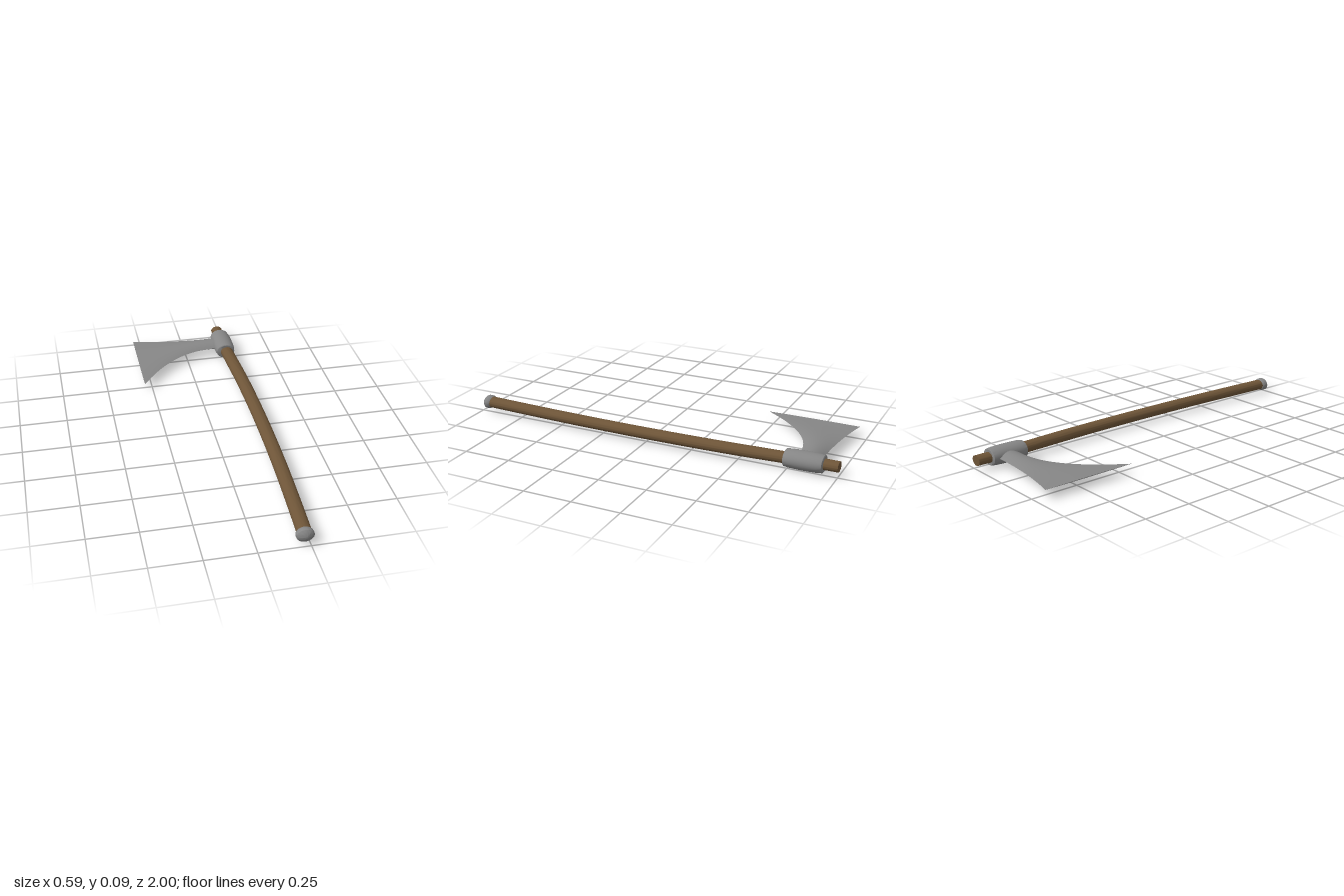
import * as THREE from 'three';
import { toCreasedNormals } from 'three/addons/utils/BufferGeometryUtils.js';

const CY = 0.047; // height of the axe's mid plane

// Skin a list of equal-length closed rings and close both ends with fans
function loft(rings) {
  const n = rings[0].length, pos = rings.flat(2), idx = [];
  for (let i = 0; i < rings.length - 1; i++) {
    for (let j = 0; j < n; j++) {
      const a = i * n + j, b = i * n + (j + 1) % n;
      idx.push(a, b, a + n, b, b + n, a + n);
    }
  }
  [0, rings.length - 1].forEach((r, end) => {
    const centre = [0, 1, 2].map(k => rings[r].reduce((s, p) => s + p[k], 0) / n);
    const c = pos.length / 3;
    pos.push(...centre);
    for (let j = 0; j < n; j++) {
      const a = r * n + j, b = r * n + (j + 1) % n;
      if (end) idx.push(c, a, b); else idx.push(c, b, a);
    }
  });
  const g = new THREE.BufferGeometry();
  g.setAttribute('position', new THREE.Float32BufferAttribute(pos, 3));
  g.setIndex(idx);
  return toCreasedNormals(g, 0.6);
}

const circle = (n, f) => Array.from({ length: n }, (_, j) => f(j / n * Math.PI * 2));

// Upright oval ring around the haft axis
const oval = (x, z, rx, ry) =>
  circle(32, a => [x + rx * Math.cos(a), CY + ry * Math.sin(a), z]);

export function createModel() {
  const group = new THREE.Group();
  const wood = new THREE.MeshStandardMaterial({ color: 0x6e5538 });
  wood.name = 'wood';
  const steel = new THREE.MeshStandardMaterial({ color: 0x868686 });
  steel.name = 'steel';
  const add = (name, rings, material) => {
    const mesh = new THREE.Mesh(loft(rings), material);
    mesh.name = name;
    group.add(mesh);
  };

  // Gently bowed haft
  const path = new THREE.CatmullRomCurve3([
    [0.225, -1], [0.226, -0.85], [0.233, -0.7], [0.248, -0.4],
    [0.255, 0], [0.25, 0.4], [0.239, 0.7], [0.226, 0.97],
  ].map(([x, z]) => new THREE.Vector3(x, 0, z)));
  add('haft', path.getPoints(40).map((p, i) => {
    const k = Math.min(1, i / 14);
    return oval(p.x, p.z, 0.032 + 0.004 * k, 0.026 + 0.0025 * k);
  }), wood);

  // Domed cap at the foot of the haft
  add('buttCap', [
    [0.950, 0.037, 0.029], [0.956, 0.042, 0.033], [0.968, 0.044, 0.035],
    [0.980, 0.043, 0.034], [0.987, 0.036, 0.028], [0.994, 0.022, 0.017],
    [0.998, 0.010, 0.008], [1.0, 0.001, 0.001],
  ].map(([z, rx, ry]) => oval(0.2255, z, rx, ry)), steel);

  // Barrel-shaped socket around the haft
  add('socket', [
    [-0.928, 0.047, 0.038], [-0.925, 0.052, 0.042], [-0.90, 0.056, 0.045],
    [-0.865, 0.058, 0.046], [-0.83, 0.0585, 0.0465], [-0.795, 0.058, 0.046],
    [-0.76, 0.056, 0.045], [-0.735, 0.052, 0.042], [-0.732, 0.047, 0.038],
  ].map(([z, rx, ry]) => oval(0.2265, z, rx, ry)), steel);

  // Bearded blade: lens sections that widen and thin towards the cutting edge
  const blade = [];
  for (let i = 0; i <= 24; i++) {
    const x = 0.2 - 0.495 * i / 24;
    const t = Math.max(0, (0.177 - x) / 0.472);
    const back = -0.90 - 0.054 * t ** 2.1;
    const beard = -0.78 + 0.322 * t ** 2.25;
    const h = 0.0015 + 0.0235 * (x + 0.295) / 0.465;
    const mid = (back + beard) / 2, half = (beard - back) / 2;
    blade.push(circle(32, a => {
      const s = Math.sin(a);
      return [x, CY + h * s * Math.abs(s), mid + half * Math.cos(a)];
    }));
  }
  add('blade', blade, steel);

  return group;
}
